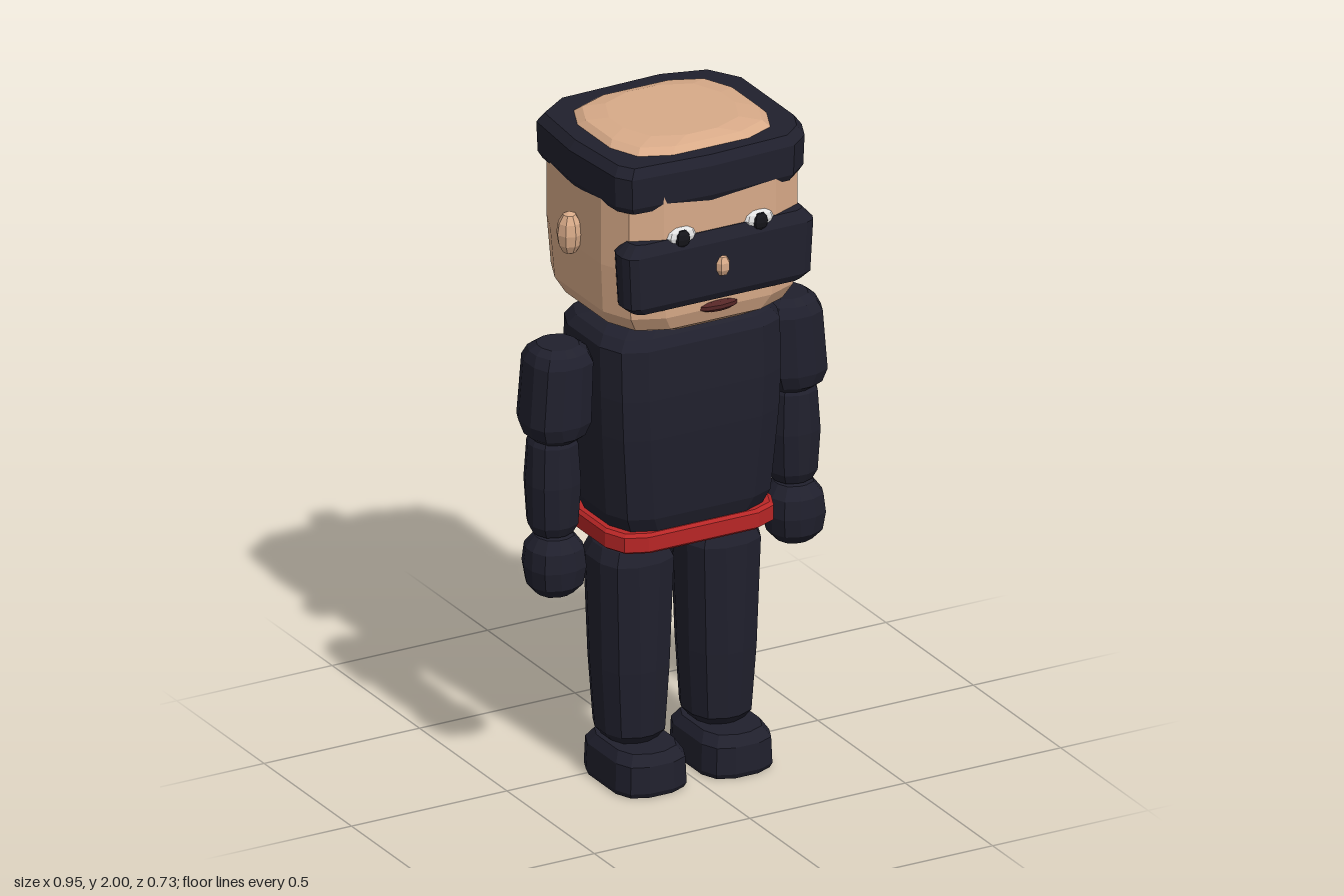
import * as THREE from 'three';

const ZC = 0.055; // depth of the body's centre line

// Rounded-rectangle outline with three points per corner, plus side midpoints
function roundRect(w, d, r) {
  r = Math.min(r, w * 0.8, d * 0.8);
  const corner = [[w, d - r], [w - 0.3 * r, d - 0.3 * r], [w - r, d]];
  const back = [...corner].reverse();
  return [
    [w, 0], ...corner,
    ...back.map(([x, z]) => [-x, z]),
    [-w, 0], ...corner.map(([x, z]) => [-x, -z]),
    ...back.map(([x, z]) => [x, -z]),
  ];
}

// Loft closed outlines stacked in y; each ring is { y, cx, cz, pts }
function loft(rings) {
  const pos = [];
  const at = (k, i) => {
    const R = rings[k], p = R.pts[i % R.pts.length];
    return [R.cx + p[0], R.y, R.cz + p[1]];
  };
  const n = rings[0].pts.length, last = rings.length - 1;
  const centre = (k) => [rings[k].cx, rings[k].y, rings[k].cz];
  for (let i = 0; i < n; i++) {
    for (let k = 0; k < last; k++) {
      const a = at(k, i), b = at(k, i + 1), c = at(k + 1, i + 1), d = at(k + 1, i);
      pos.push(...a, ...d, ...c, ...a, ...c, ...b);
    }
    pos.push(...centre(0), ...at(0, i), ...at(0, i + 1));
    pos.push(...centre(last), ...at(last, i + 1), ...at(last, i));
  }
  const g = new THREE.BufferGeometry();
  g.setAttribute('position', new THREE.Float32BufferAttribute(pos, 3));
  g.computeVertexNormals();
  return g;
}

// Bevelled block: levels are [y, half width, half depth, centre x]
const block = (levels, r, cz = ZC) =>
  loft(levels.map(([y, w, d, cx = 0]) => ({ y, cx, cz, pts: roundRect(w, d, r) })));

export function createModel() {
  const group = new THREE.Group();
  const material = (name, color) => {
    const m = new THREE.MeshStandardMaterial({ color, flatShading: true });
    m.name = name;
    return m;
  };
  const cloth = material('dark cloth', 0x20202d);
  const skin = material('skin', 0xd8aa88);
  const red = material('red belt', 0xb82626);
  const white = material('eye white', 0xe4e4e4);
  const black = material('pupil black', 0x15151b);
  const lip = material('lip', 0x552626);

  const add = (name, geometry, mat) => {
    const mesh = new THREE.Mesh(geometry, mat);
    mesh.name = name;
    group.add(mesh);
    return mesh;
  };
  const blob = (name, mat, x, y, z, rx, ry, rz, sides = 8, rows = 6) => {
    const mesh = add(name, new THREE.SphereGeometry(1, sides, rows), mat);
    mesh.position.set(x, y, z);
    mesh.scale.set(rx, ry, rz);
    return mesh;
  };

  // Head and neck
  add('head', block([
    [1.43, 0.23, 0.21], [1.455, 0.275, 0.25], [1.5, 0.3, 0.268], [1.65, 0.31, 0.275],
    [1.9, 0.31, 0.275], [1.975, 0.25, 0.222], [1.99, 0.235, 0.205], [2.0, 0.18, 0.17],
  ], 0.13), skin);
  add('neck', block([[1.38, 0.1, 0.1], [1.46, 0.1, 0.1]], 0.07), skin);

  // Headband with a slightly uneven tied outline, and its knot
  const bandOutline = [
    [0.33, -0.11], [0.33, 0.21], [0.3, 0.28], [0.24, 0.33], [-0.03, 0.343], [-0.28, 0.325],
    [-0.31, 0.28], [-0.328, 0.05], [-0.31, -0.17], [-0.21, -0.24], [0.13, -0.25], [0.27, -0.21],
  ];
  add('headband', loft([[1.835, 0.955], [1.855, 0.99], [1.945, 1], [1.973, 0.94]].map(([y, s]) => ({
    y, cx: 0, cz: ZC, pts: bandOutline.map(([x, z]) => [x * s, (z - ZC) * s]),
  }))), cloth);
  add('headbandKnot', block([
    [1.81, 0.028, 0.06], [1.828, 0.046, 0.088], [1.885, 0.048, 0.09], [1.905, 0.028, 0.066],
  ], 0.035, -0.278), cloth);

  // Face
  add('faceMask', block([
    [1.53, 0.27, 0.036], [1.553, 0.298, 0.05], [1.71, 0.306, 0.053], [1.745, 0.275, 0.038],
  ], 0.035, 0.295), cloth);
  blob('nose', skin, 0, 1.635, 0.34, 0.026, 0.034, 0.026, 6, 5);
  blob('mouth', lip, 0, 1.505, 0.32, 0.066, 0.018, 0.02, 8, 5);

  // Torso and belt
  add('torso', block([
    [0.79, 0.235, 0.165], [0.85, 0.26, 0.185], [1.1, 0.28, 0.198], [1.22, 0.285, 0.2],
    [1.37, 0.285, 0.194], [1.4, 0.265, 0.178], [1.415, 0.235, 0.15],
  ], 0.1), cloth);
  add('belt', block([
    [0.745, 0.258, 0.174], [0.753, 0.267, 0.182], [0.797, 0.267, 0.182], [0.806, 0.258, 0.174],
  ], 0.09), red);

  // Mirrored parts
  for (const [side, s] of [['left', 1], ['right', -1]]) {
    const limb = (name, levels, r, cz) =>
      add(side + name, block(levels.map(([y, w, d, x]) => [y, w, d, x * s]), r, cz), cloth);

    blob(side + 'Ear', skin, s * 0.33, 1.695, ZC, 0.038, 0.066, 0.038);
    blob(side + 'Eye', white, s * 0.125, 1.745, 0.322, 0.054, 0.032, 0.024);
    blob(side + 'Pupil', black, s * 0.125, 1.74, 0.334, 0.027, 0.029, 0.018);

    limb('UpperArm', [
      [1.08, 0.06, 0.065, 0.38], [1.1, 0.082, 0.09, 0.381], [1.14, 0.095, 0.1, 0.38],
      [1.32, 0.092, 0.097, 0.369], [1.35, 0.08, 0.085, 0.368], [1.367, 0.058, 0.06, 0.368],
    ], 0.065);
    limb('Forearm', [
      [0.795, 0.055, 0.055, 0.385], [0.825, 0.07, 0.07, 0.385], [0.95, 0.076, 0.076, 0.385],
      [1.07, 0.07, 0.07, 0.385], [1.1, 0.055, 0.055, 0.385],
    ], 0.055);
    limb('Hand', [
      [0.615, 0.052, 0.052, 0.385], [0.645, 0.078, 0.078, 0.385], [0.7, 0.085, 0.085, 0.385],
      [0.755, 0.08, 0.08, 0.385], [0.79, 0.055, 0.055, 0.385],
    ], 0.06, 0.065);
    limb('Leg', [
      [0.125, 0.072, 0.085, 0.139], [0.15, 0.092, 0.105, 0.139], [0.35, 0.105, 0.115, 0.14],
      [0.68, 0.115, 0.122, 0.14], [0.72, 0.1, 0.108, 0.14], [0.742, 0.078, 0.085, 0.14],
    ], 0.08);
    limb('Foot', [
      [0, 0.106, 0.148, 0.138], [0.015, 0.111, 0.155, 0.138], [0.095, 0.108, 0.153, 0.138],
      [0.125, 0.09, 0.132, 0.138],
    ], 0.07, 0.09);
  }
  return group;
}
